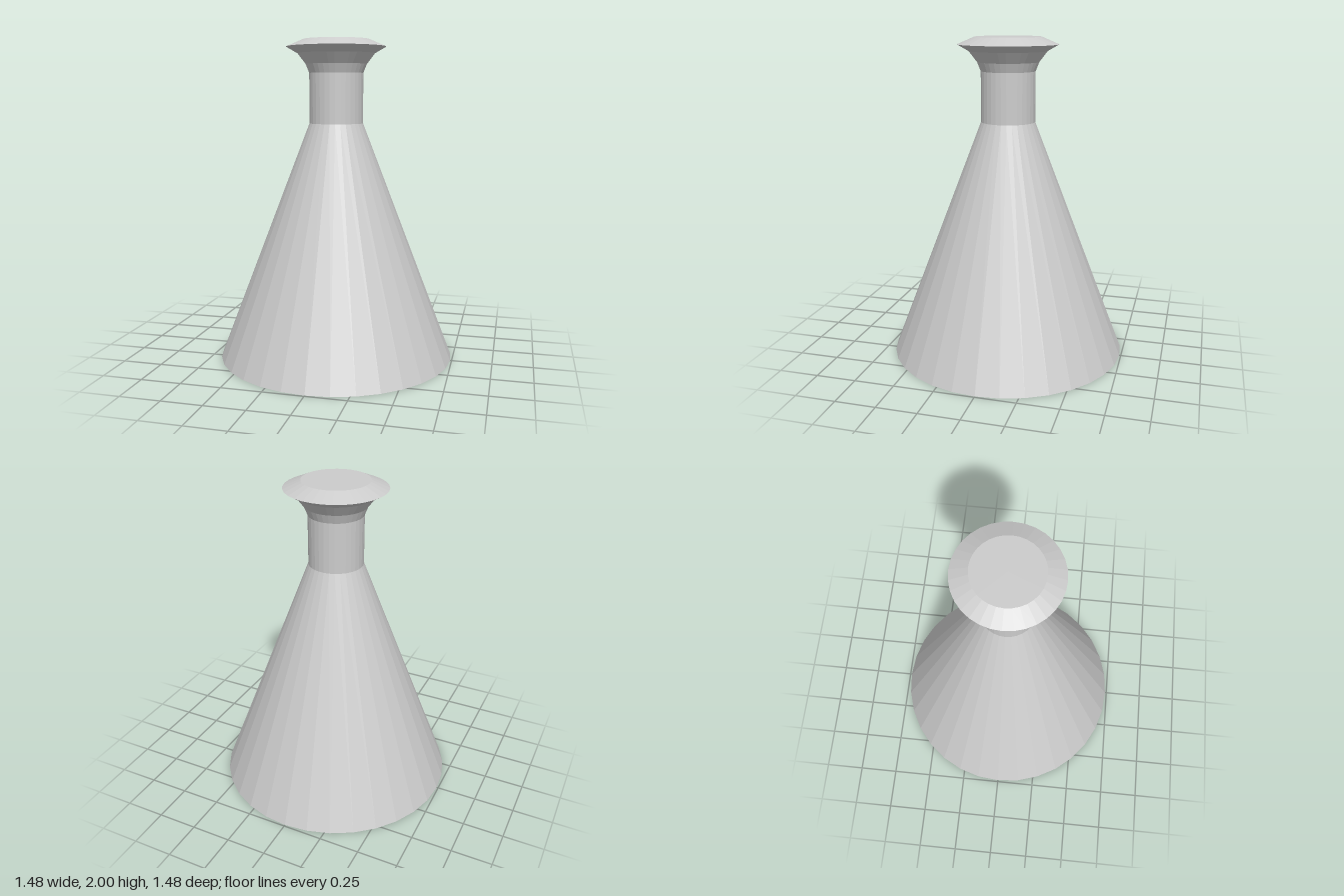
import * as THREE from 'three';

const SIDES = 32;

export function createModel() {
  const model = new THREE.Group();
  model.name = 'flask';
  const material = new THREE.MeshStandardMaterial({ color: 0xcccccc, flatShading: true });

  // Turns a profile of [radius, height] points, listed from bottom to top
  const turned = (name, profile) => {
    const points = profile.map(([r, y]) => new THREE.Vector2(r, y));
    const mesh = new THREE.Mesh(new THREE.LatheGeometry(points, SIDES), material);
    mesh.name = name;
    model.add(mesh);
  };

  // Conical body with a closed base
  turned('body', [[0, 0], [0.74, 0], [0.168, 1.485]]);

  // Straight neck
  turned('neck', [[0.168, 1.485], [0.168, 1.795]]);

  // Flared lip with a bevelled, closed top
  turned('lip', [[0.168, 1.795], [0.19, 1.85], [0.24, 1.915], [0.31, 1.955], [0.205, 2], [0, 2]]);

  return model;
}
